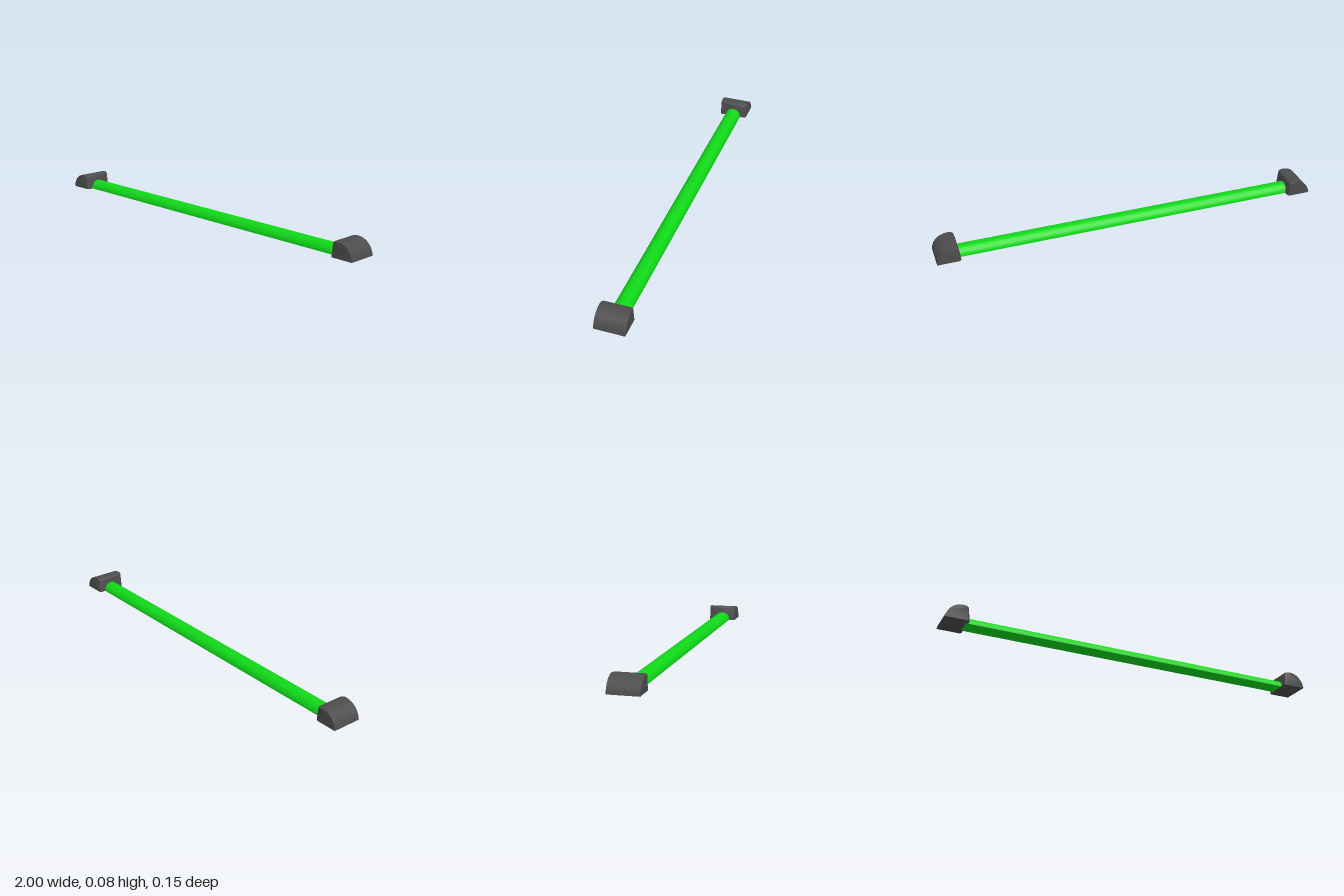
import * as THREE from 'three';
import { toCreasedNormals } from 'three/addons/utils/BufferGeometryUtils.js';

const HALF_DEPTH = 0.076;
const CORNER = 0.012;

// End cap: quarter-round profile, extruded across z, with rounded inner corners
function capGeometry() {
  const s = new THREE.Shape();
  s.moveTo(0.88, 0);
  s.lineTo(1, 0);
  s.bezierCurveTo(0.995, 0.043, 0.962, 0.077, 0.915, 0.077);
  s.lineTo(0.897, 0.076);
  s.quadraticCurveTo(0.888, 0.075, 0.887, 0.066);
  s.closePath();
  const n = 4; // slices in each rounded corner
  const steps = 2 * n + 1;
  const geo = new THREE.ExtrudeGeometry(s, { depth: steps, steps, bevelEnabled: false, curveSegments: 12 });
  const pos = geo.attributes.position;
  for (let i = 0; i < pos.count; i++) {
    const k = Math.round(pos.getZ(i));
    const fromEnd = Math.min(k, steps - k);
    const a = (fromEnd / n) * Math.PI / 2;
    const z = HALF_DEPTH - CORNER * (1 - Math.cos(a));
    pos.setZ(i, k < steps / 2 ? -z : z);
    if (pos.getX(i) < 0.9) pos.setX(i, pos.getX(i) + CORNER * (1 - Math.sin(a)));
  }
  return toCreasedNormals(geo, 0.7);
}

// Tube: half-round section with a flat underside, running along x
function tubeGeometry() {
  const s = new THREE.Shape();
  s.absarc(0, 0, 0.043, 0, Math.PI, false);
  s.closePath();
  const length = 1.78;
  const geo = new THREE.ExtrudeGeometry(s, { depth: length, bevelEnabled: false, curveSegments: 20 });
  geo.translate(0, 0, -length / 2);
  geo.rotateY(Math.PI / 2);
  return toCreasedNormals(geo, 0.7);
}

export function createModel() {
  const model = new THREE.Group();
  model.name = 'lightBar';
  const green = new THREE.MeshStandardMaterial({ color: 0x10d818 });
  const dark = new THREE.MeshStandardMaterial({ color: 0x4c4c4c });

  const tube = new THREE.Mesh(tubeGeometry(), green);
  tube.name = 'tube';
  model.add(tube);

  const geo = capGeometry();
  for (const side of ['left', 'right']) {
    const cap = new THREE.Mesh(geo, dark);
    cap.name = side + 'EndCap';
    if (side === 'right') cap.rotation.y = Math.PI;
    model.add(cap);
  }
  return model;
}
